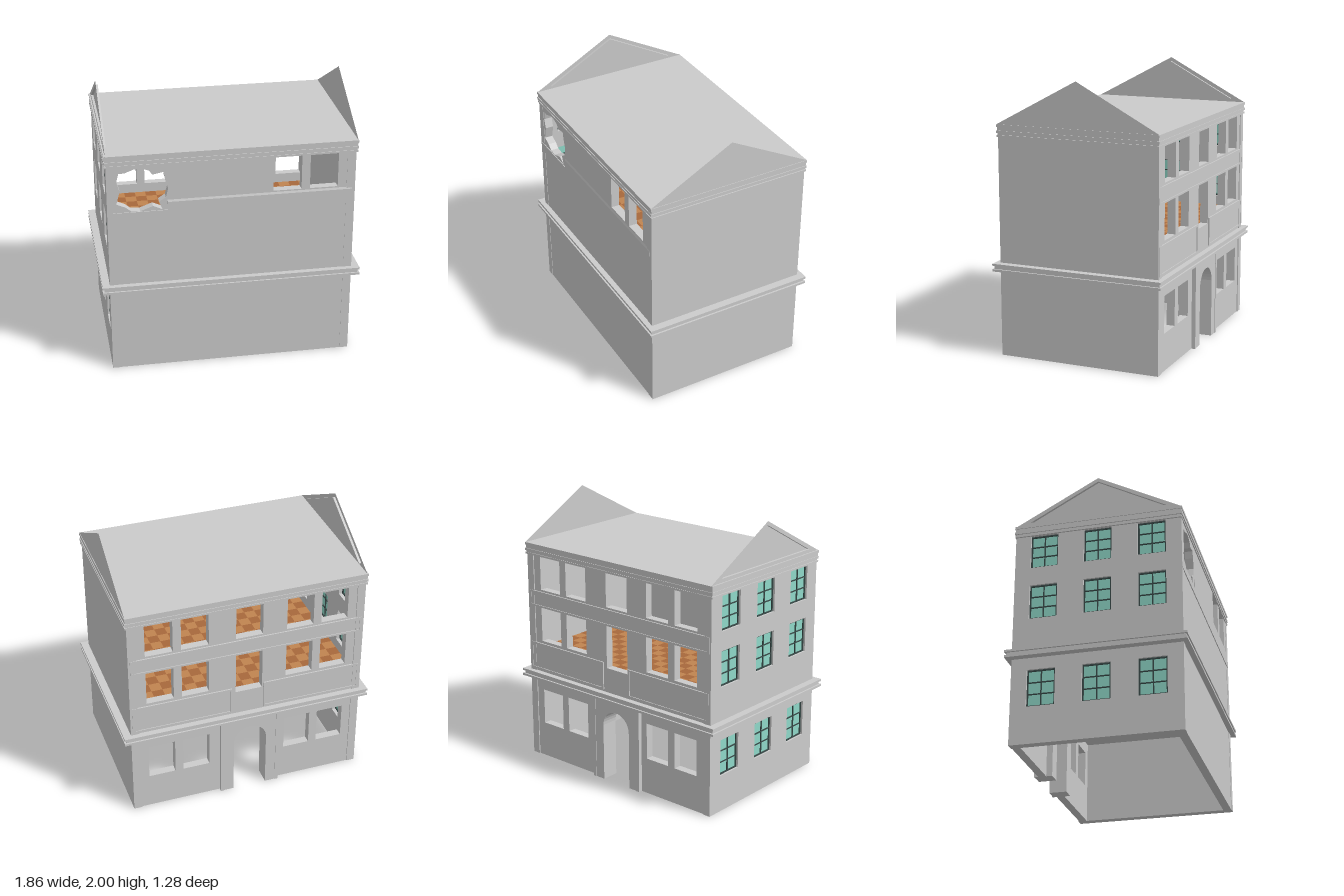
import * as THREE from 'three';
import { mergeGeometries } from 'three/addons/utils/BufferGeometryUtils.js';

const mat = (color) => new THREE.MeshStandardMaterial({ color, side: THREE.DoubleSide });
const W = 0.874, D = 0.603, T = 0.06; // half width, half depth, wall thickness

export function createModel() {
  const model = new THREE.Group();
  const grey = mat(0xcccccc), glass = mat(0x8fd8c8), dark = mat(0x3a4c4a);
  const brown = mat(0xa8683c), tan = mat(0xc08450);

  const add = (name, geo, m = grey, parent = model) => {
    const mesh = new THREE.Mesh(geo, m);
    mesh.name = name;
    parent.add(mesh);
    return mesh;
  };
  // Box given by its limits
  const box = (x0, x1, y0, y1, z0, z1) =>
    new THREE.BoxGeometry(x1 - x0, y1 - y0, z1 - z0)
      .translate((x0 + x1) / 2, (y0 + y1) / 2, (z0 + z1) / 2);
  const poly = (pts, Type = THREE.Path) => new Type(pts.map(([x, y]) => new THREE.Vector2(x, y)));
  const rectPts = (x0, x1, y0, y1) => [[x0, y0], [x1, y0], [x1, y1], [x0, y1]];
  const rect = (...r) => poly(rectPts(...r));
  // Upright slab with openings, its outer face at distance d, turned about y
  const slab = (outline, holes, t, d, turn = 0) => {
    const shape = poly(outline, THREE.Shape);
    shape.holes.push(...holes);
    return new THREE.ExtrudeGeometry(shape, { depth: t, bevelEnabled: false })
      .translate(0, 0, d - t).rotateY(turn);
  };
  const BACK = Math.PI, LEFT = -Math.PI / 2;

  // Levels and centres of the window openings
  const rows = [[0.27, 0.54], [0.93, 1.19], [1.33, 1.585]];
  const cols = [-0.65, -0.39, 0.39, 0.65];

  // Front wall: two windows and a ragged breach
  const breach = poly([
    [-0.79, 1.54], [-0.75, 1.54], [-0.685, 1.565], [-0.64, 1.57], [-0.58, 1.55], [-0.557, 1.517],
    [-0.48, 1.533], [-0.47, 1.48], [-0.45, 1.405], [-0.467, 1.34], [-0.515, 1.31], [-0.493, 1.252],
    [-0.557, 1.28], [-0.647, 1.247], [-0.71, 1.252], [-0.75, 1.284], [-0.81, 1.31], [-0.785, 1.406],
    [-0.806, 1.475]]);
  add('frontWall', slab(rectPts(-W, W, 0, 1.6),
    [breach, rect(0.29, 0.49, 1.33, 1.585), rect(0.55, 0.75, 1.33, 1.585)], T, D - 0.003));

  // Raised band on the front, with a sloping top edge, broken off around the breach
  const bandProfile = poly([[-0.02, 1.195], [0.003, 1.195], [0.003, 1.305], [-0.003, 1.32], [-0.02, 1.32]], THREE.Shape);
  add('frontBand', new THREE.ExtrudeGeometry(bandProfile, { depth: 1.31, bevelEnabled: false })
    .rotateY(LEFT).scale(1, 1, 1).rotateY(Math.PI).rotateY(0)
    .rotateY(0).translate(0, 0, 0).applyMatrix4(new THREE.Matrix4().makeScale(1, 1, -1))
    .translate(-0.455, 0, D));
  add('frontBandEnd', box(-0.86, -0.455, 1.195, 1.245, D - 0.02, D + 0.003));

  // Arched doorway, open to the ground
  const doorX = 0.015, archPts = [[doorX - 0.125, 0]];
  for (let i = 0; i <= 16; i++) {
    const a = Math.PI * (1 - i / 16);
    archPts.push([doorX + 0.125 * Math.cos(a), 0.43 + 0.125 * Math.sin(a)]);
  }
  archPts.push([doorX + 0.125, 0]);
  const archedPanel = (x0, x1, y1) => [[x0, 0], ...archPts, [x1, 0], [x1, y1], [x0, y1]];

  // Back wall: rows of windows, balcony door and entrance
  const backHoles = [rect(-0.09, 0.11, 0.87, 1.19), rect(-0.09, 0.11, 1.33, 1.585)];
  for (const [y0, y1] of rows) for (const x of cols) backHoles.push(rect(x - 0.1, x + 0.1, y0, y1));
  add('backWall', slab(archedPanel(-W, W, 1.6), backHoles, T, D - 0.007, BACK));
  add('doorSurround', slab(archedPanel(doorX - 0.225, doorX + 0.225, 0.63), [], 0.13, 0.622, BACK));
  for (const s of [-1, 1])
    add('doorPilasterTrim', box(-doorX + s * 0.213 - 0.012, -doorX + s * 0.213 + 0.012, 0, 0.63, -0.626, -0.61));

  // Framed balcony bands on the back
  const band = (x0, x1, y0, y1) => {
    add('backBand', box(x0, x1, y0, y1, -D + 0.003, -D + 0.02));
    add('backBandFrame', slab(rectPts(-x1, -x0, y0, y1),
      [rect(-x1 + 0.014, -x0 - 0.014, y0 + 0.014, y1 - 0.014)], 0.015, D + 0.003, BACK));
  };
  band(-0.86, 0.86, 1.195, 1.315);
  band(0.12, 0.86, 0.7, 0.91);
  band(-0.86, -0.12, 0.7, 0.91);

  // Side walls
  const sideZ = [-0.39, 0, 0.39], xi = W - T, zi = D - T;
  const sideHoles = [];
  for (const [y0, y1] of rows) for (const z of sideZ) sideHoles.push(rect(z - 0.1, z + 0.1, y0, y1));
  add('leftSideWall', slab(rectPts(-D, D, 0, 1.6), sideHoles, T, W + 0.002, LEFT));
  add('rightSideWall', box(xi, W + 0.001, 0, 1.6, -D, D));

  // Glazed side windows with two by three panes
  for (const [y0, y1] of rows) for (const z of sideZ) {
    const win = new THREE.Group();
    win.name = 'sideWindow';
    model.add(win);
    const panes = [], pw = 0.086, ph = (y1 - y0 - 0.034) / 3;
    for (let c = 0; c < 2; c++) for (let r = 0; r < 3; r++) {
      const x = z - 0.09 + c * (pw + 0.008), y = y0 + 0.01 + r * (ph + 0.007);
      panes.push(rect(x, x + pw, y, y + ph));
    }
    add('windowBars', slab(rectPts(z - 0.1, z + 0.1, y0, y1), panes, 0.02, W - 0.012, LEFT), dark, win);
    add('windowGlass', box(-W + 0.02, -W + 0.024, y0, y1, z - 0.1, z + 0.1), glass, win);
  }

  // Tiled floor above the ground storey
  const floorY = 0.855, nx = 20, nz = 13, sx = 2 * xi / nx, sz = 2 * zi / nz;
  add('floorSlab', box(-xi, xi, floorY - 0.04, floorY, -zi, zi));
  const tiles = [[], []];
  for (let i = 0; i < nx; i++) for (let j = 0; j < nz; j++)
    tiles[(i + j) % 2].push(new THREE.PlaneGeometry(sx, sz).rotateX(-Math.PI / 2)
      .translate(-xi + (i + 0.5) * sx, floorY + 0.003, -zi + (j + 0.5) * sz));
  add('darkTiles', mergeGeometries(tiles[0]), brown);
  add('lightTiles', mergeGeometries(tiles[1]), tan);

  // Stepped cornices: half width, half depth, bottom, top
  const cornice = (name, steps) => steps.forEach(([x, z, y0, y1]) => add(name, box(-x, x, y0, y1, -z, z)));
  cornice('middleCornice', [
    [0.93, 0.64, 0.628, 0.645], [0.917, 0.628, 0.645, 0.668], [0.93, 0.64, 0.668, 0.684]]);
  cornice('topCornice', [
    [0.887, 0.608, 1.586, 1.6], [0.88, 0.604, 1.6, 1.612], [0.888, 0.611, 1.612, 1.63],
    [0.883, 0.606, 1.63, 1.655], [0.888, 0.611, 1.655, 1.674]]);

  // Gables: a plain sheet on one end, a recessed pediment on the other
  const outer = [[-0.61, 1.674], [0.61, 1.674], [0, 2]];
  const inner = [[-0.5, 1.7], [0.5, 1.7], [0, 1.97]];
  const faceX = 0.877, panelX = 0.86;
  const sheet = (pts, d, turn, holes = []) => {
    const s = poly(pts, THREE.Shape);
    s.holes.push(...holes);
    return new THREE.ShapeGeometry(s).translate(0, 0, d).rotateY(turn);
  };
  add('plainGable', sheet(outer, 0.884, -LEFT));
  add('pedimentFace', sheet(outer, faceX, LEFT, [poly(inner)]));
  add('pedimentPanel', sheet(inner, panelX, LEFT));
  const rim = [];
  inner.forEach(([z0, y0], i) => {
    const [z1, y1] = inner[(i + 1) % 3], a = -faceX, b = -panelX;
    rim.push(a, y0, z0, b, y0, z0, b, y1, z1, a, y0, z0, b, y1, z1, a, y1, z1);
  });
  const rimGeo = new THREE.BufferGeometry();
  rimGeo.setAttribute('position', new THREE.Float32BufferAttribute(rim, 3));
  rimGeo.computeVertexNormals();
  add('pedimentRim', rimGeo);

  return model;
}
